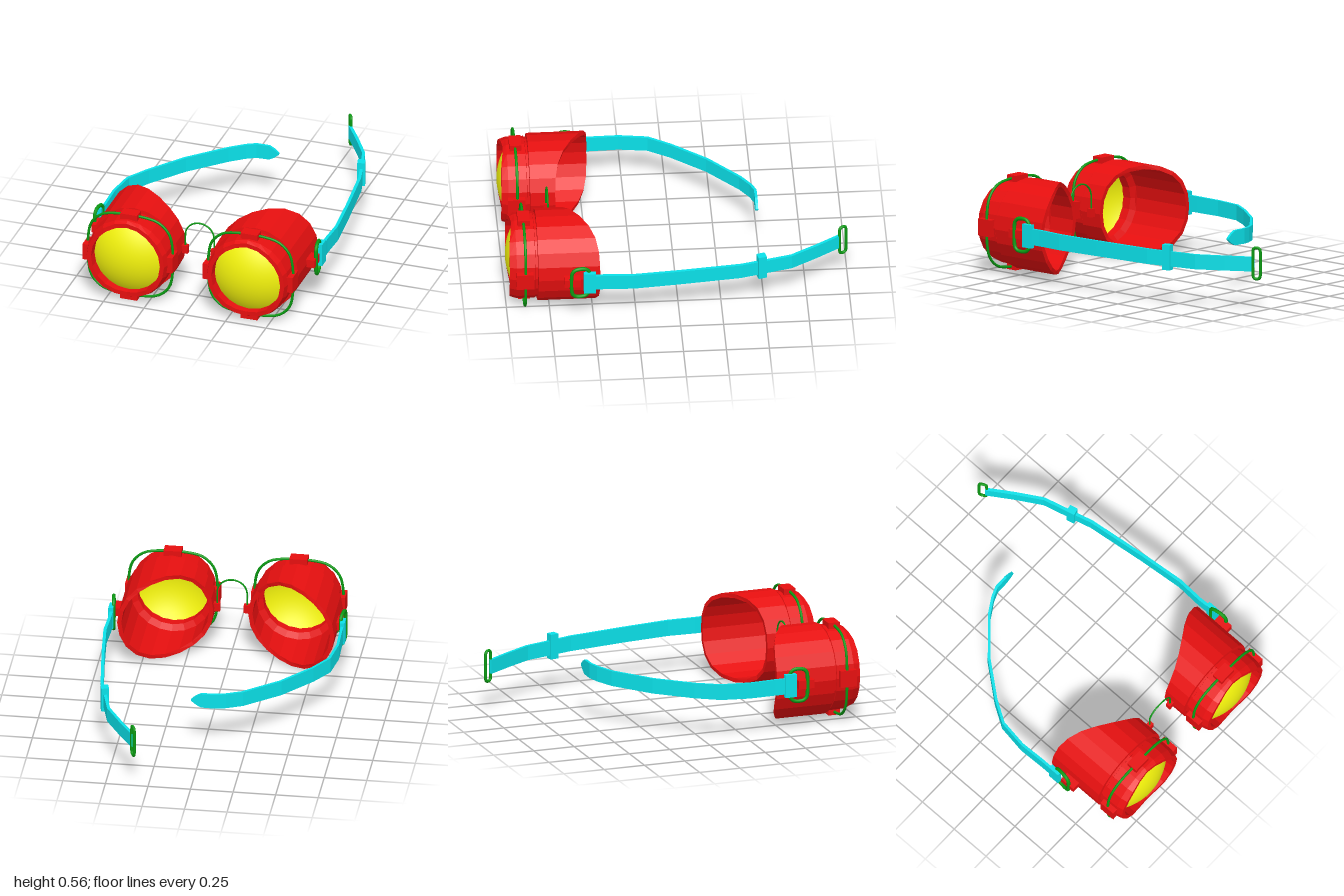
import * as THREE from 'three';

const mat = (color, flatShading = true) =>
  new THREE.MeshStandardMaterial({ color, flatShading, side: THREE.DoubleSide });
const RED = mat(0xe60f0f), CYAN = mat(0x0ae0e8);
const GREEN = mat(0x0a9a12, false), YELLOW = mat(0xf2f20c, false);
const CX = 0.37, CY = 0.28;

function add(parent, name, geometry, material, x = 0, y = 0, z = 0) {
  const mesh = new THREE.Mesh(geometry, material);
  mesh.name = name;
  mesh.position.set(x, y, z);
  parent.add(mesh);
  return mesh;
}

function block(parent, name, w, h, d, x, y, z, material = RED) {
  return add(parent, name, new THREE.BoxGeometry(w, h, d), material, x, y, z);
}

// Closed wire along a rounded rectangle in the XY plane
function wireLoop(w, h, r, tube, segments) {
  const pts = [];
  [[1, 1], [-1, 1], [-1, -1], [1, -1]].forEach(([sx, sy], corner) => {
    for (let i = 0; i <= 3; i++) {
      const a = (corner + i / 3) * Math.PI / 2;
      pts.push(new THREE.Vector3(
        sx * (w / 2 - r) + r * Math.cos(a), sy * (h / 2 - r) + r * Math.sin(a), 0));
    }
  });
  return new THREE.TubeGeometry(new THREE.CatmullRomCurve3(pts, true), segments, tube, 8, true);
}

// Band following stations [x, z, centre y, height]
function band(stations, thickness) {
  const n = stations.length - 1;
  const g = new THREE.BoxGeometry(1, 1, 1, n, 1, 1);
  const p = g.attributes.position;
  for (let i = 0; i < p.count; i++) {
    const k = Math.round((p.getX(i) + 0.5) * n);
    const [x, z, y, h] = stations[k];
    const a = stations[Math.max(k - 1, 0)], b = stations[Math.min(k + 1, n)];
    const len = Math.hypot(b[0] - a[0], b[1] - a[1]);
    const tx = (b[0] - a[0]) / len, tz = (b[1] - a[1]) / len;
    const off = p.getZ(i) * thickness;
    p.setXYZ(i, x - tz * off, y + p.getY(i) * h, z + tx * off);
  }
  g.computeVertexNormals();
  return g;
}

// Hollow cup: a turned profile whose back edge sweeps towards the temple
function cupGeometry(s) {
  const BACK = 0, FRONT = 0.985;
  const profile = [
    [0.243, BACK], [0.268, BACK], [0.268, 0.82], [0.246, 0.822], [0.246, 0.835], [0.252, 0.837],
    [0.25, 0.945], [0.238, FRONT], [0.212, FRONT], [0.208, 0.87], [0.243, 0.85], [0.243, BACK],
  ].map(([r, z]) => new THREE.Vector2(r, z));
  const g = new THREE.LatheGeometry(profile, 20).rotateX(Math.PI / 2);
  const p = g.attributes.position;
  for (let i = 0; i < p.count; i++) {
    const x = p.getX(i), y = p.getY(i), r = Math.hypot(x, y);
    if (p.getZ(i) < 0.1) p.setZ(i, 0.568 - 0.107 * Math.sin(Math.PI / 2 * s * x / r));
    else if (p.getZ(i) > 0.98) p.setZ(i, FRONT - 0.02 * Math.pow(y / r, 8));
  }
  g.computeVertexNormals();
  return g;
}

function eyepiece(s) {
  const g = new THREE.Group();
  g.name = s > 0 ? 'leftEyepiece' : 'rightEyepiece';
  const cx = s * CX;
  add(g, 'cup', cupGeometry(s), RED, cx, CY, 0);

  // Domed lens
  const R = 0.34;
  const dome = new THREE.SphereGeometry(R, 40, 10, 0, Math.PI * 2, 0, Math.asin(0.212 / R));
  add(g, 'lens', dome.rotateX(Math.PI / 2), YELLOW, cx, CY, 1 - R);

  // Wire around the front ring, held by four lugs
  add(g, 'ringWire', wireLoop(0.515, 0.515, 0.16, 0.008, 64), GREEN, cx, CY, 0.895);
  for (const v of [-1, 1]) {
    block(g, 'lug', 0.104, 0.045, 0.07, cx, CY + v * 0.2575, 0.893);
    block(g, 'lug', 0.045, 0.1, 0.1, cx + v * 0.254, CY, 0.9);
  }

  // Bridge anchor and strap anchor
  block(g, 'bridgeAnchor', 0.045, 0.05, 0.03, s * 0.0925, 0.285, 0.73);
  block(g, 'strapAnchor', 0.055, 0.05, 0.095, s * 0.6575, 0.285, 0.625);

  // Strap ring and the folded strap end around it
  const ring = add(g, 'strapRing', wireLoop(0.105, 0.195, 0.04, 0.011, 48), GREEN, s * 0.674, 0.285, 0.578);
  ring.rotation.y = s * (Math.PI / 2 + 0.13);
  block(g, 'strapFold', 0.028, 0.138, 0.07, s * 0.68, 0.288, 0.525, CYAN);
  return g;
}

export function createModel() {
  const model = new THREE.Group();
  model.name = 'goggles';
  model.add(eyepiece(1), eyepiece(-1));

  // Arched nose wire
  const arch = [new THREE.Vector3(-0.088, 0.285, 0)];
  for (let i = 0; i <= 12; i++) {
    const a = Math.PI * (1 - i / 12);
    arch.push(new THREE.Vector3(0.088 * Math.cos(a), 0.38 + 0.086 * Math.sin(a), 0));
  }
  arch.push(new THREE.Vector3(0.088, 0.285, 0));
  add(model, 'noseWire',
    new THREE.TubeGeometry(new THREE.CatmullRomCurve3(arch), 40, 0.005, 6), GREEN, 0, 0, 0.73);

  // Free strap with a pointed tip
  add(model, 'rightStrap', band([
    [-0.68, 0.54, 0.287, 0.095], [-0.68, 0.43, 0.287, 0.095], [-0.685, 0.27, 0.286, 0.093],
    [-0.66, 0.1, 0.287, 0.092], [-0.58, -0.03, 0.288, 0.09], [-0.42, -0.23, 0.293, 0.09],
    [-0.22, -0.41, 0.302, 0.09], [-0.13, -0.465, 0.31, 0.09], [-0.07, -0.488, 0.315, 0.09],
    [0.01, -0.489, 0.316, 0.088], [0.04, -0.489, 0.316, 0.055], [0.068, -0.489, 0.316, 0.008],
  ], 0.016), CYAN);

  // Buckle strap
  add(model, 'leftStrap', band([
    [0.68, 0.54, 0.287, 0.095], [0.675, 0.43, 0.287, 0.095], [0.682, 0.27, 0.286, 0.093],
    [0.655, 0, 0.283, 0.091], [0.61, -0.36, 0.278, 0.09], [0.575, -0.49, 0.276, 0.088],
    [0.53, -0.66, 0.274, 0.087], [0.44, -0.81, 0.273, 0.086], [0.345, -0.955, 0.272, 0.085],
  ], 0.018), CYAN);
  const slider = block(model, 'strapSlider', 0.045, 0.15, 0.05, 0.577, 0.285, -0.483, CYAN);
  slider.rotation.y = 0.25;

  // Wire ring at the end of the buckle strap
  const endRing = add(model, 'endRing', wireLoop(0.043, 0.185, 0.018, 0.009, 48), GREEN, 0.342, 0.278, -0.971);
  endRing.rotation.y = Math.PI - Math.atan2(0.055, 0.03);
  return model;
}
